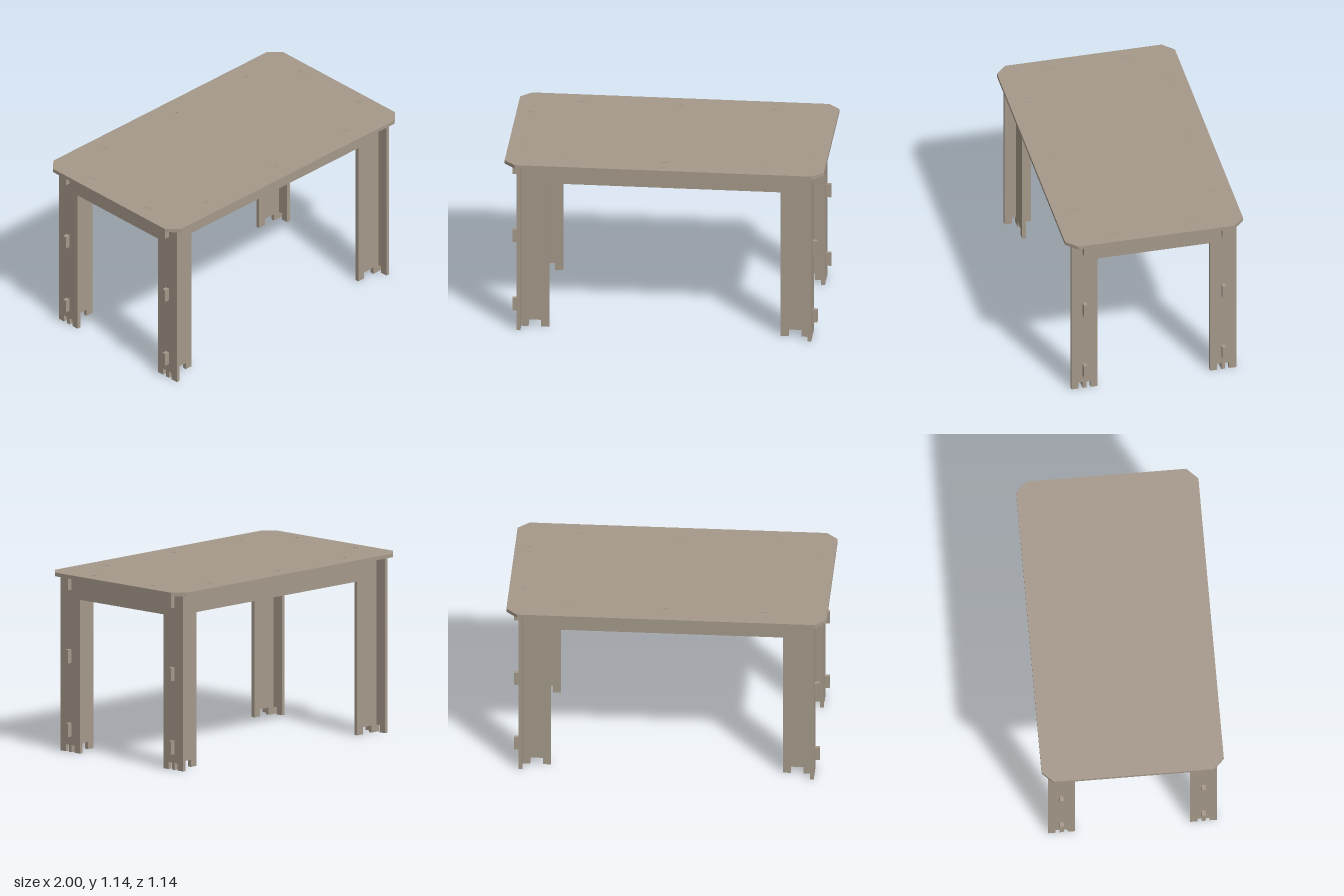
import * as THREE from 'three';

const T = 0.024;        // board thickness
const UNDER = 1.117;    // underside of the table top
const TOP = 1.14;
const FOOT = 0.045;     // height of the foot notch
const APRON = 0.975;    // lower edge of the aprons
const LONG_Z = 0.444;   // centre plane of the long frames
const END_X = 0.911;    // centre plane of the end frames
const SLOT = 0.022;     // half length of a slot in the top

// Extrude an outline to a board centred on its own plane
function board(shape, depth, material, name) {
  const geometry = new THREE.ExtrudeGeometry(shape, { depth, bevelEnabled: false });
  geometry.translate(0, 0, -depth / 2);
  const mesh = new THREE.Mesh(geometry, material);
  mesh.name = name;
  return mesh;
}

// Two-legged frame: half outline listed from inner leg to top, then mirrored
function frameShape(half, inner, notchIn, notchOut, sideTabs, topTabs) {
  const right = [
    [inner, APRON], [inner, 0], [notchIn, 0], [notchIn, FOOT],
    [notchOut, FOOT], [notchOut, 0], [half, 0],
  ];
  for (const [y0, y1] of sideTabs) {
    right.push([half, y0], [0.955, y0], [0.955, y1], [half, y1]);
  }
  if (!sideTabs.length) right.push([half, UNDER]);
  // tabs that rise into the top, from outside to the middle
  for (const x of topTabs) {
    right.push([x + SLOT, UNDER], [x + SLOT, TOP - 0.002]);
    if (x > 0) right.push([x - SLOT, TOP - 0.002], [x - SLOT, UNDER]);
  }
  const left = right.map(([x, y]) => [-x, y]).reverse();
  return new THREE.Shape([...right, ...left].map(([x, y]) => new THREE.Vector2(x, y)));
}

// Chamfered table top with slots
function topShape() {
  const X = 1, Z = 0.57, C = 0.07;
  const shape = new THREE.Shape([
    [X, -Z + C], [X, Z - C], [X - C, Z], [-X + C, Z],
    [-X, Z - C], [-X, -Z + C], [-X + C, -Z], [X - C, -Z],
  ].map(([x, y]) => new THREE.Vector2(x, y)));
  const slot = (x, y, w, h) => shape.holes.push(new THREE.Path([
    new THREE.Vector2(x - w, y - h), new THREE.Vector2(x - w, y + h),
    new THREE.Vector2(x + w, y + h), new THREE.Vector2(x + w, y - h),
  ]));
  for (const s of [-1, 1]) {
    for (const x of [-0.61, 0, 0.61]) slot(x, s * LONG_Z, SLOT, T / 2);
    for (const z of [-0.25, 0.25]) slot(s * END_X, z, T / 2, SLOT);
  }
  return shape;
}

export function createModel() {
  const model = new THREE.Group();
  model.name = 'table';
  const wood = new THREE.MeshStandardMaterial({ color: 0xa5998a });
  wood.name = 'greyTanWood';

  // Table top
  const top = board(topShape(), TOP - UNDER, wood, 'tableTop');
  top.rotation.x = -Math.PI / 2;
  top.position.y = (TOP + UNDER) / 2;
  model.add(top);

  // Long frames, with tabs that pass through the end frames
  const tabs = [[0.1, 0.186], [0.566, 0.652], [1.03, UNDER]];
  const longShape = frameShape(0.9, 0.725, 0.775, 0.855, tabs, [0.61, 0]);
  // End frames, with foot notches astride the long frames
  const endShape = frameShape(0.528, 0.36, 0.405, 0.481, [], [0.25]);

  for (const s of [1, -1]) {
    const long = board(longShape, T, wood, s > 0 ? 'frontFrame' : 'backFrame');
    long.position.z = s * LONG_Z;
    model.add(long);

    const end = board(endShape, T, wood, s > 0 ? 'leftEndFrame' : 'rightEndFrame');
    end.rotation.y = Math.PI / 2;
    end.position.x = s * END_X;
    model.add(end);

    // Foot of each long frame showing within the end frame's notch
    for (const z of [1, -1]) {
      const foot = new THREE.Mesh(new THREE.BoxGeometry(T, FOOT, T), wood);
      foot.name = 'cornerFoot';
      foot.position.set(s * END_X, FOOT / 2, z * LONG_Z);
      model.add(foot);
    }
  }
  return model;
}
